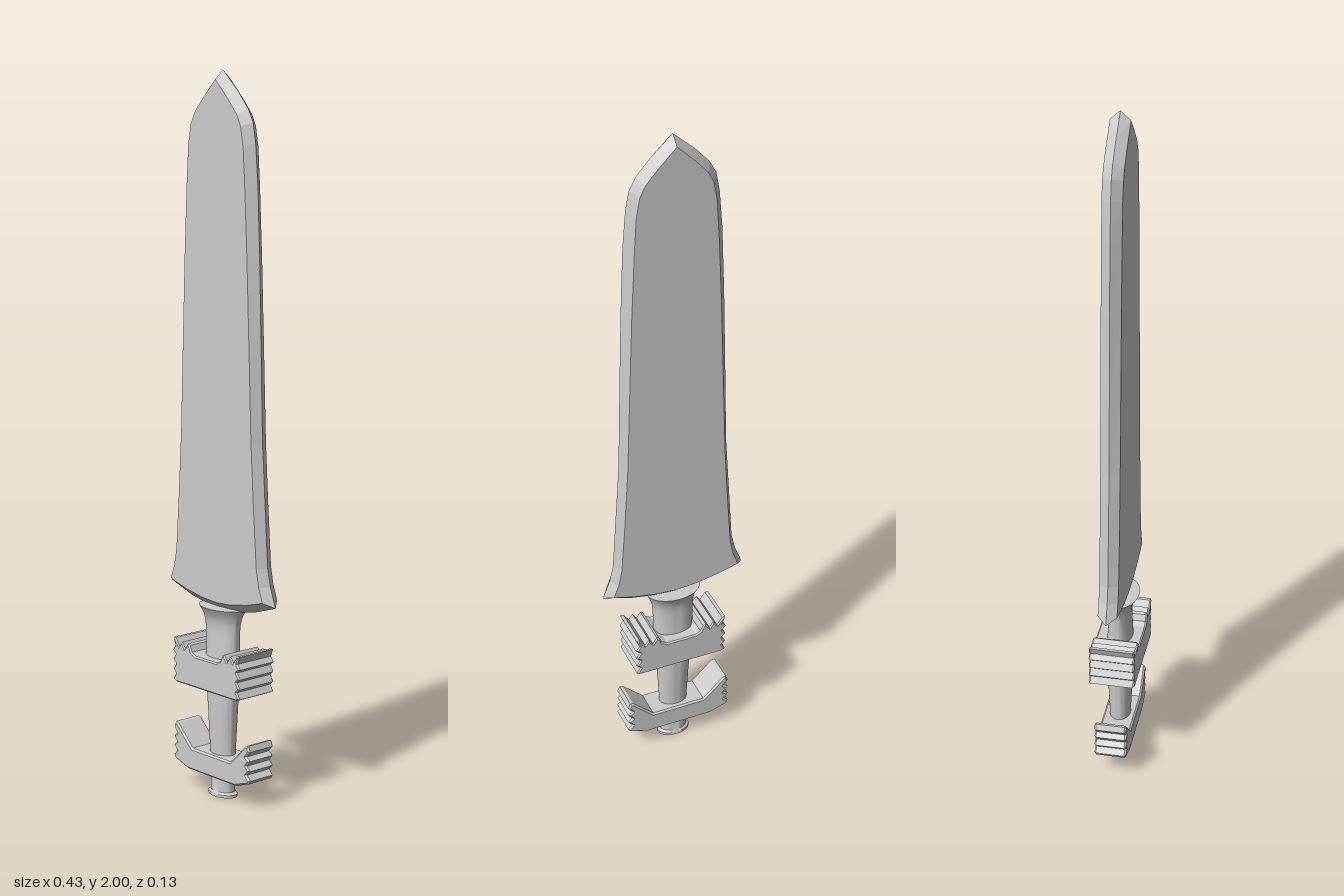
import * as THREE from 'three';
import { toCreasedNormals } from 'three/addons/utils/BufferGeometryUtils.js';

const flat = new THREE.MeshStandardMaterial({ color: 0xcccccc, flatShading: true });
const smooth = new THREE.MeshStandardMaterial({ color: 0xcccccc });

// Right half of the blade, tip to heel: cutting edge x, y, then flat face x, y
const bladeRows = [
  [0, 2, 0, 1.975],
  [0.06, 1.945, 0.05, 1.925],
  [0.1, 1.9, 0.085, 1.885],
  [0.119, 1.865, 0.1, 1.855],
  [0.129, 1.81, 0.11, 1.8],
  [0.138, 1.7, 0.117, 1.69],
  [0.146, 1.5, 0.126, 1.5],
  [0.153, 1.25, 0.135, 1.25],
  [0.159, 1.02, 0.143, 1.02],
  [0.17, 0.85, 0.153, 0.85],
  [0.181, 0.68, 0.165, 0.68],
  [0.192, 0.63, 0.175, 0.63],
  [0.213, 0.575, 0.19, 0.59],
  [0.13, 0.548, 0.125, 0.572],
  [0.06, 0.535, 0.058, 0.56],
  [0, 0.53, 0, 0.556],
];

function bladeGeometry(halfThickness) {
  const pos = [];
  const quad = (a, b, c, d, flip) => {
    const order = flip ? [a, c, b, a, d, c] : [a, b, c, a, c, d];
    order.forEach((p) => pos.push(...p));
  };
  for (let i = 0; i < bladeRows.length - 1; i++) {
    const [ox, oy, ix, iy] = bladeRows[i];
    const [px, py, jx, jy] = bladeRows[i + 1];
    for (const s of [1, -1]) {
      const z = s * halfThickness;
      // broad face
      quad([-ix, iy, z], [-jx, jy, z], [jx, jy, z], [ix, iy, z], s < 0);
      // ground bevels on both edges
      for (const m of [1, -1]) {
        quad([m * ix, iy, z], [m * jx, jy, z], [m * px, py, 0], [m * ox, oy, 0], s * m < 0);
      }
    }
  }
  const g = new THREE.BufferGeometry();
  g.setAttribute('position', new THREE.Float32BufferAttribute(pos, 3));
  g.computeVertexNormals();
  return g;
}

// Oval handle: each section is y, half width, half depth
const gripSections = [
  [0, 0.049, 0.032], [0.008, 0.049, 0.032], [0.014, 0.04, 0.028],
  [0.06, 0.04, 0.028], [0.13, 0.042, 0.03], [0.22, 0.047, 0.034],
  [0.31, 0.053, 0.037], [0.4, 0.059, 0.036], [0.47, 0.061, 0.032],
  [0.495, 0.063, 0.033], [0.515, 0.068, 0.038], [0.53, 0.074, 0.046],
  [0.542, 0.08, 0.054],
];

function gripGeometry() {
  const profile = [
    new THREE.Vector2(0, 0),
    ...gripSections.map(([y, rx]) => new THREE.Vector2(rx, y)),
    new THREE.Vector2(0, 0.542),
  ];
  const n = profile.length;
  const g = new THREE.LatheGeometry(profile, 40);
  const p = g.attributes.position;
  for (let i = 0; i < p.count; i++) {
    const row = gripSections[(i % n) - 1];
    if (row) p.setZ(i, (p.getZ(i) * row[2]) / row[1]);
  }
  return toCreasedNormals(g, 0.6);
}

// Symmetrical bevelled plate from its right-hand outline, bottom to top
function plate(name, half, halfDepth, bevel) {
  const pts = [...half, ...half.slice().reverse().map(([x, y]) => [-x, y])];
  const shape = new THREE.Shape(pts.map(([x, y]) => new THREE.Vector2(x, y)));
  const g = new THREE.ExtrudeGeometry(shape, {
    depth: 2 * (halfDepth - bevel),
    bevelEnabled: true,
    bevelThickness: bevel,
    bevelSize: bevel,
    bevelOffset: -bevel,
    bevelSegments: 1,
  });
  g.translate(0, 0, bevel - halfDepth);
  const mesh = new THREE.Mesh(g, flat);
  mesh.name = name;
  return mesh;
}

export function createModel() {
  const group = new THREE.Group();
  group.name = 'sword';

  const blade = new THREE.Mesh(bladeGeometry(0.027), flat);
  blade.name = 'blade';
  const grip = new THREE.Mesh(gripGeometry(), smooth);
  grip.name = 'grip';

  // Upper guard with toothed ends and horns
  const upperGuard = plate('upperGuard', [
    [0.126, 0.31], [0.138, 0.316], [0.127, 0.334], [0.138, 0.344],
    [0.127, 0.362], [0.139, 0.372], [0.128, 0.39], [0.14, 0.4],
    [0.129, 0.414], [0.138, 0.436], [0.128, 0.436], [0.112, 0.414],
    [0.1, 0.43], [0.088, 0.412], [0.076, 0.43], [0.068, 0.426],
    [0.06, 0.408], [0.045, 0.4],
  ], 0.065, 0.004);

  // Lower guard with upswept, toothed ends
  const lowerGuard = plate('lowerGuard', [
    [0.1, 0.058], [0.154, 0.076], [0.16, 0.086], [0.146, 0.1],
    [0.16, 0.114], [0.146, 0.126], [0.159, 0.142], [0.145, 0.152],
    [0.159, 0.168], [0.152, 0.184], [0.142, 0.182], [0.08, 0.122],
  ], 0.046, 0.005);

  group.add(blade, grip, upperGuard, lowerGuard);
  return group;
}
